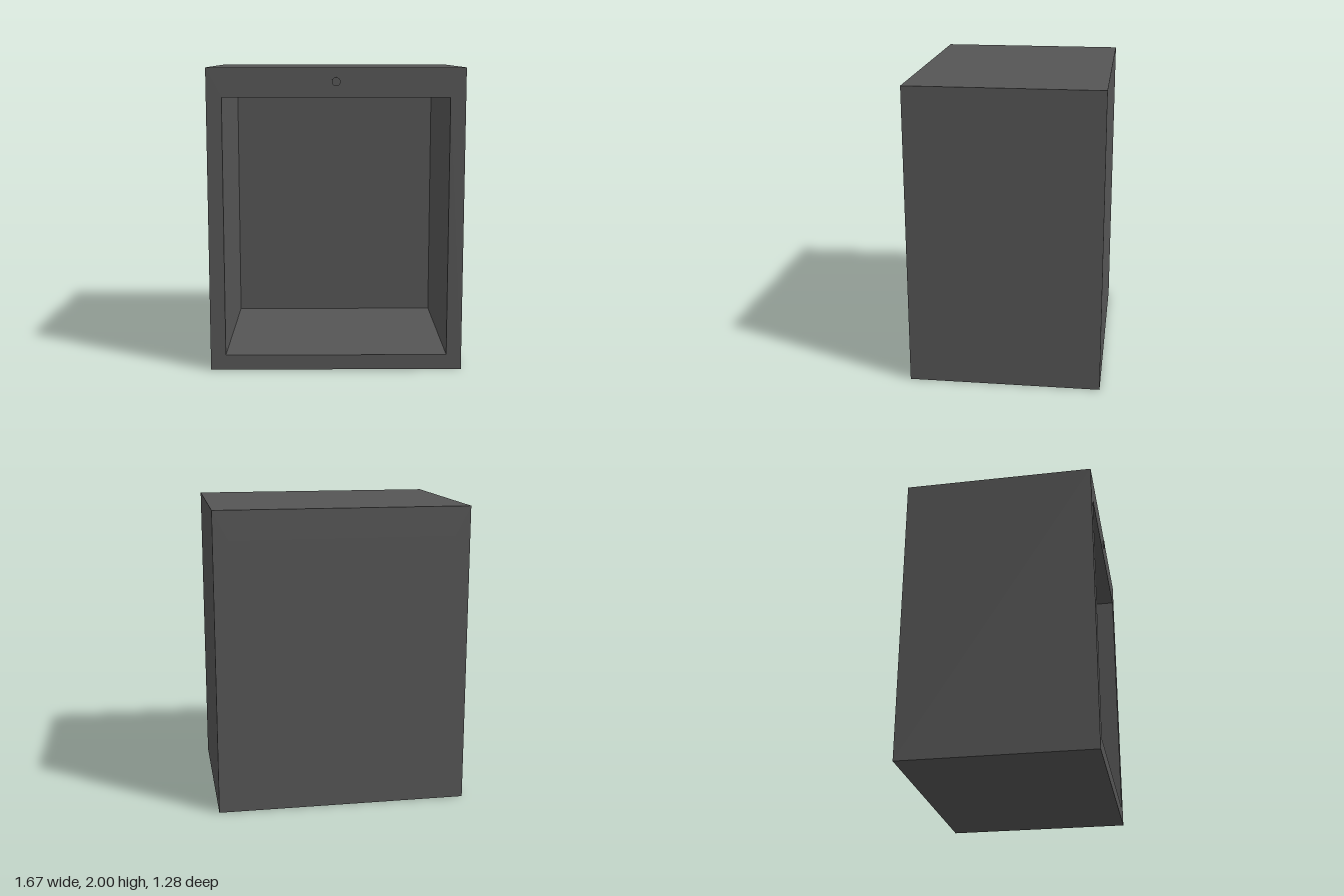
import * as THREE from 'three';

export function createModel() {
  const group = new THREE.Group();
  group.name = 'openCabinet';
  const grey = new THREE.MeshStandardMaterial({ color: 0x555555 });
  grey.name = 'dark grey';

  const W = 0.835, H = 2, back = -0.64, front = 0.63; // outer shell
  const w = 0.735, y0 = 0.1, y1 = 1.81, innerBack = -0.58; // cavity

  const add = (name, geometry, x, y, z) => {
    const mesh = new THREE.Mesh(geometry, grey);
    mesh.name = name;
    mesh.position.set(x, y, z);
    group.add(mesh);
    return mesh;
  };

  // Closed counter-clockwise rectangle
  const rect = (path, x, bottom, top) => path
    .moveTo(-x, bottom).lineTo(x, bottom).lineTo(x, top).lineTo(-x, top).closePath();

  // Walls, floor and ceiling as one hollow shell, closed by a back panel
  const outline = rect(new THREE.Shape(), W, 0, H);
  outline.holes.push(rect(new THREE.Path(), w, y0, y1));
  add('cabinetShell', new THREE.ExtrudeGeometry(outline, { depth: front - back, bevelEnabled: false }), 0, 0, back);
  const panelDepth = innerBack - back;
  add('backPanel', new THREE.BoxGeometry(2 * w, y1 - y0, panelDepth), 0, (y0 + y1) / 2, back + panelDepth / 2);

  // Small round button above the opening
  const button = add('frontButton', new THREE.CylinderGeometry(0.028, 0.028, 0.02, 32), 0, 1.91, front);
  button.rotation.x = Math.PI / 2;

  return group;
}
